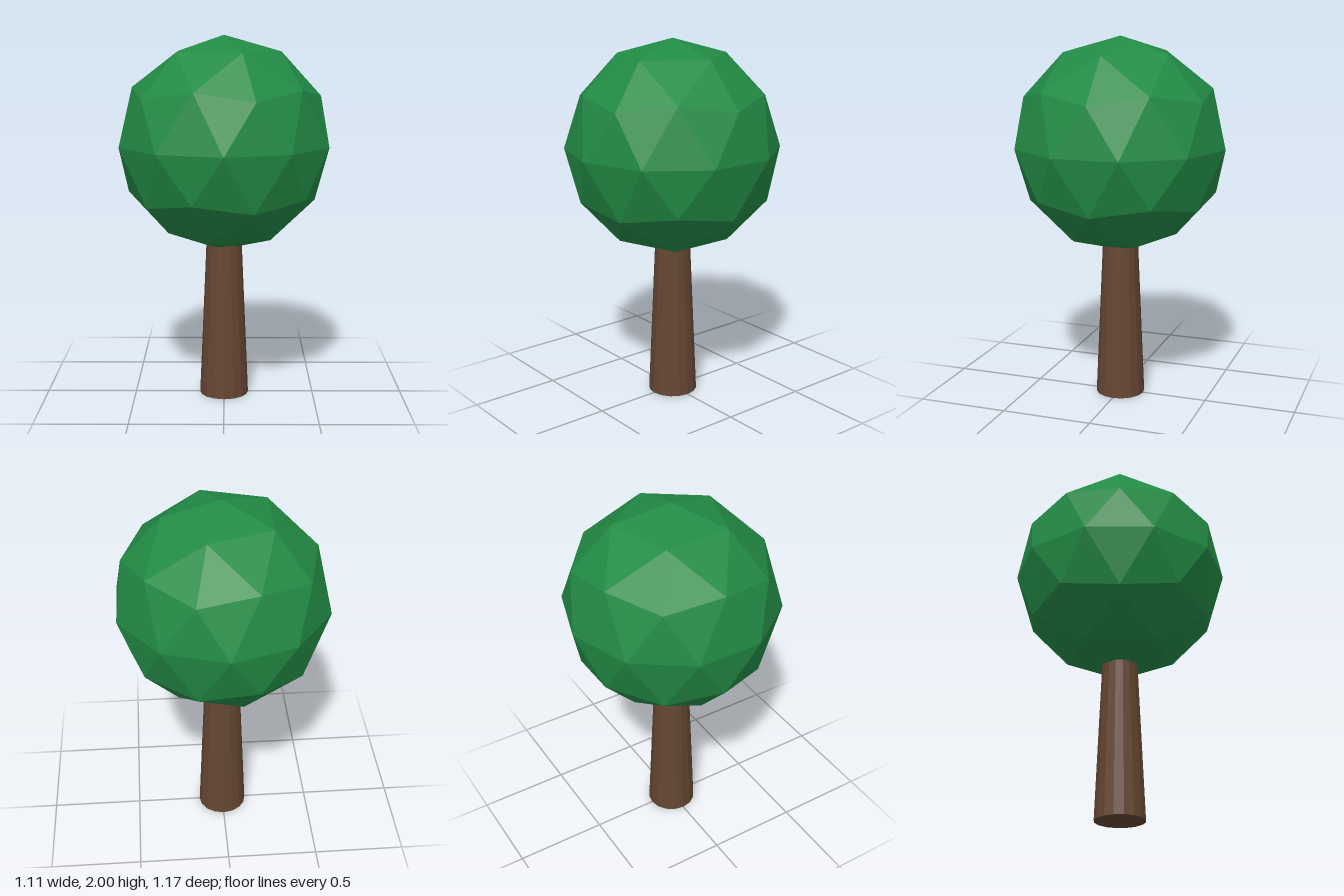
import * as THREE from 'three';

export function createModel() {
  const tree = new THREE.Group();
  tree.name = 'tree';

  const addPart = (name, geometry, color, y) => {
    const material = new THREE.MeshStandardMaterial({ color, flatShading: true });
    const mesh = new THREE.Mesh(geometry, material);
    mesh.name = name;
    mesh.position.y = y;
    tree.add(mesh);
  };

  // Tapered trunk, its top hidden inside the foliage
  const trunkHeight = 1.0;
  addPart('trunk', new THREE.CylinderGeometry(0.092, 0.136, trunkHeight, 16), 0x654632, trunkHeight / 2);

  // Faceted foliage ball, turned so that one corner points straight up
  const radius = 0.585;
  const goldenRatio = (1 + Math.sqrt(5)) / 2;
  const ball = new THREE.IcosahedronGeometry(radius, 1);
  ball.rotateZ(-Math.atan(1 / goldenRatio));
  addPart('foliage', ball, 0x228b45, 2 - radius);

  return tree;
}
